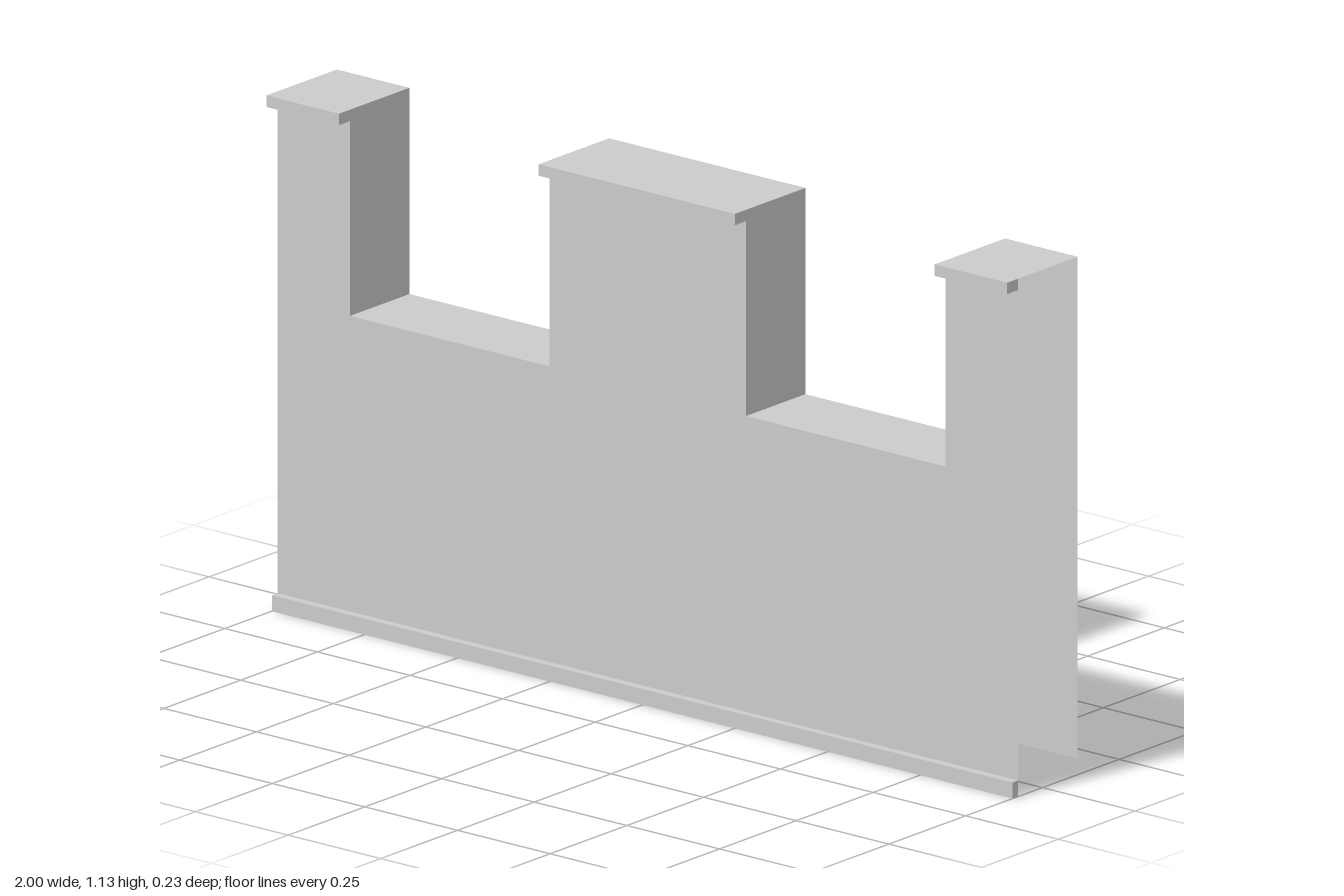
import * as THREE from 'three';

const BACK = -0.115, FACE = 0.079, LIP = 0.115, TRIM = 0.097;
const BASE = 0.035, SILL = 0.68, EAVE = 1.105, TOP = 1.13;
const OUTER = 0.804, INNER = 0.265;

export function createModel() {
  const group = new THREE.Group();
  const material = new THREE.MeshStandardMaterial({
    color: 0xcccccc, flatShading: true, side: THREE.DoubleSide,
  });

  const add = (name, geometry) => {
    const mesh = new THREE.Mesh(geometry, material);
    mesh.name = name;
    group.add(mesh);
    return mesh;
  };

  // Sweeps an open [z, y] profile along x; front-to-back points face upward
  const strip = (name, x0, x1, profile) => {
    const pos = [];
    for (let i = 0; i < profile.length - 1; i++) {
      const [za, ya] = profile[i], [zb, yb] = profile[i + 1];
      pos.push(x0, ya, za, x1, ya, za, x1, yb, zb);
      pos.push(x0, ya, za, x1, yb, zb, x0, yb, zb);
    }
    const geometry = new THREE.BufferGeometry();
    geometry.setAttribute('position', new THREE.Float32BufferAttribute(pos, 3));
    geometry.computeVertexNormals();
    return add(name, geometry);
  };

  // Upright rectangle across the wall thickness, facing +x (dir 1) or -x (dir -1)
  const sidePlate = (name, x, dir, z0, z1, y0, y1) => {
    const mesh = add(name, new THREE.PlaneGeometry(z1 - z0, y1 - y0));
    mesh.position.set(x, (y0 + y1) / 2, (z0 + z1) / 2);
    mesh.rotation.y = dir * Math.PI / 2;
  };

  // Crenellated wall sheet
  const sheet = (top) => new THREE.ShapeGeometry(new THREE.Shape([
    [-1, BASE], [1, BASE], [1, top], [OUTER, top], [OUTER, SILL], [INNER, SILL],
    [INNER, top], [-INNER, top], [-INNER, SILL], [-OUTER, SILL], [-OUTER, top], [-1, top],
  ].map(([x, y]) => new THREE.Vector2(x, y))));
  add('frontWall', sheet(EAVE)).position.z = FACE;
  const backWall = add('backWall', sheet(TOP));
  backWall.position.z = BACK;
  backWall.rotation.y = Math.PI;

  // Merlon caps with an overhanging front lip
  for (const [x0, x1] of [[-1, -OUTER], [-INNER, INNER], [OUTER, 1]]) {
    strip('merlonCap', x0, x1, [[FACE, EAVE], [LIP, EAVE], [LIP, TOP], [BACK, TOP]]);
    sidePlate('capEnd', x0, -1, FACE, LIP, EAVE, TOP);
    sidePlate('capEnd', x1, 1, FACE, LIP, EAVE, TOP);
  }

  // Gaps between the merlons: floor and two side walls each
  for (const [x0, x1] of [[-OUTER, -INNER], [INNER, OUTER]]) {
    strip('gapFloor', x0, x1, [[FACE, SILL], [BACK, SILL]]);
    sidePlate('gapSide', x0, 1, BACK, FACE, SILL, TOP);
    sidePlate('gapSide', x1, -1, BACK, FACE, SILL, TOP);
  }

  // Base trim, open toward the hollow inside
  strip('baseTrim', -1, 1, [[FACE, 0], [TRIM, 0], [TRIM, BASE], [FACE, BASE]]);
  for (const s of [-1, 1]) sidePlate('baseTrimEnd', s, s, FACE, TRIM, 0, BASE);

  return group;
}
